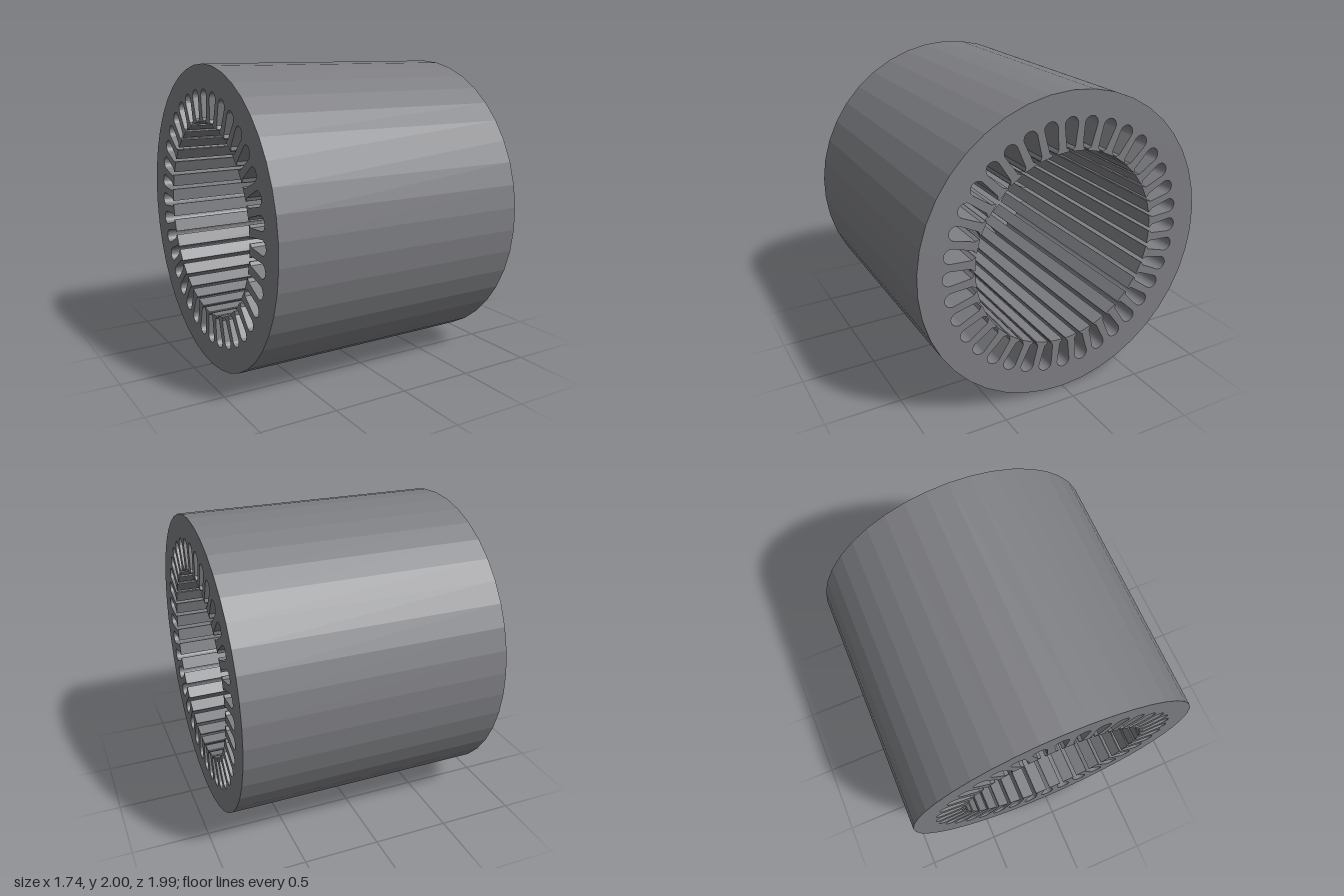
import * as THREE from 'three';

const LENGTH = 1.74;
const OUTER_SIDES = 42;
const SLOTS = 36;
const BORE_RADIUS = 0.635;

// Half outline of one slot as [half-width, radius], from the bore mouth outwards
function slotHalfOutline() {
  const points = [[0.0125, BORE_RADIUS], [0.0125, 0.643], [0.03, 0.66]];
  const endRadius = 0.046, endCentre = 0.799, steps = 6;
  for (let i = 0; i <= steps; i++) {
    const a = (i / steps) * Math.PI / 2;
    points.push([endRadius * Math.cos(a), endCentre + endRadius * Math.sin(a)]);
  }
  return points;
}

// Bore with all the slots opening into it, as one closed path
function slottedBore() {
  const half = slotHalfOutline();
  const mirrored = half.slice(0, -1).reverse().map(([w, r]) => [-w, r]);
  const outline = [...half, ...mirrored];
  const points = [];
  for (let i = 0; i < SLOTS; i++) {
    const turn = (i / SLOTS) * Math.PI * 2;
    for (const [w, r] of outline) {
      points.push(new THREE.Vector2(w, r).rotateAround(new THREE.Vector2(), turn));
    }
  }
  return new THREE.Path(points);
}

export function createModel() {
  const group = new THREE.Group();
  group.name = 'stator';

  // Faceted outer ring with a corner at the very top
  const rim = [];
  for (let i = 0; i < OUTER_SIDES; i++) {
    const a = Math.PI / 2 + (i / OUTER_SIDES) * Math.PI * 2;
    rim.push(new THREE.Vector2(Math.cos(a), Math.sin(a)));
  }
  const section = new THREE.Shape(rim);
  section.holes.push(slottedBore());

  // Core extruded along x, in dark steel grey
  const geometry = new THREE.ExtrudeGeometry(section, { depth: LENGTH, bevelEnabled: false });
  geometry.translate(0, 0, -LENGTH / 2);
  geometry.rotateY(Math.PI / 2);
  geometry.translate(0, 1, 0);

  const core = new THREE.Mesh(
    geometry,
    new THREE.MeshStandardMaterial({ color: 0x7d7e82, flatShading: true })
  );
  core.name = 'statorCore';
  group.add(core);
  return group;
}
